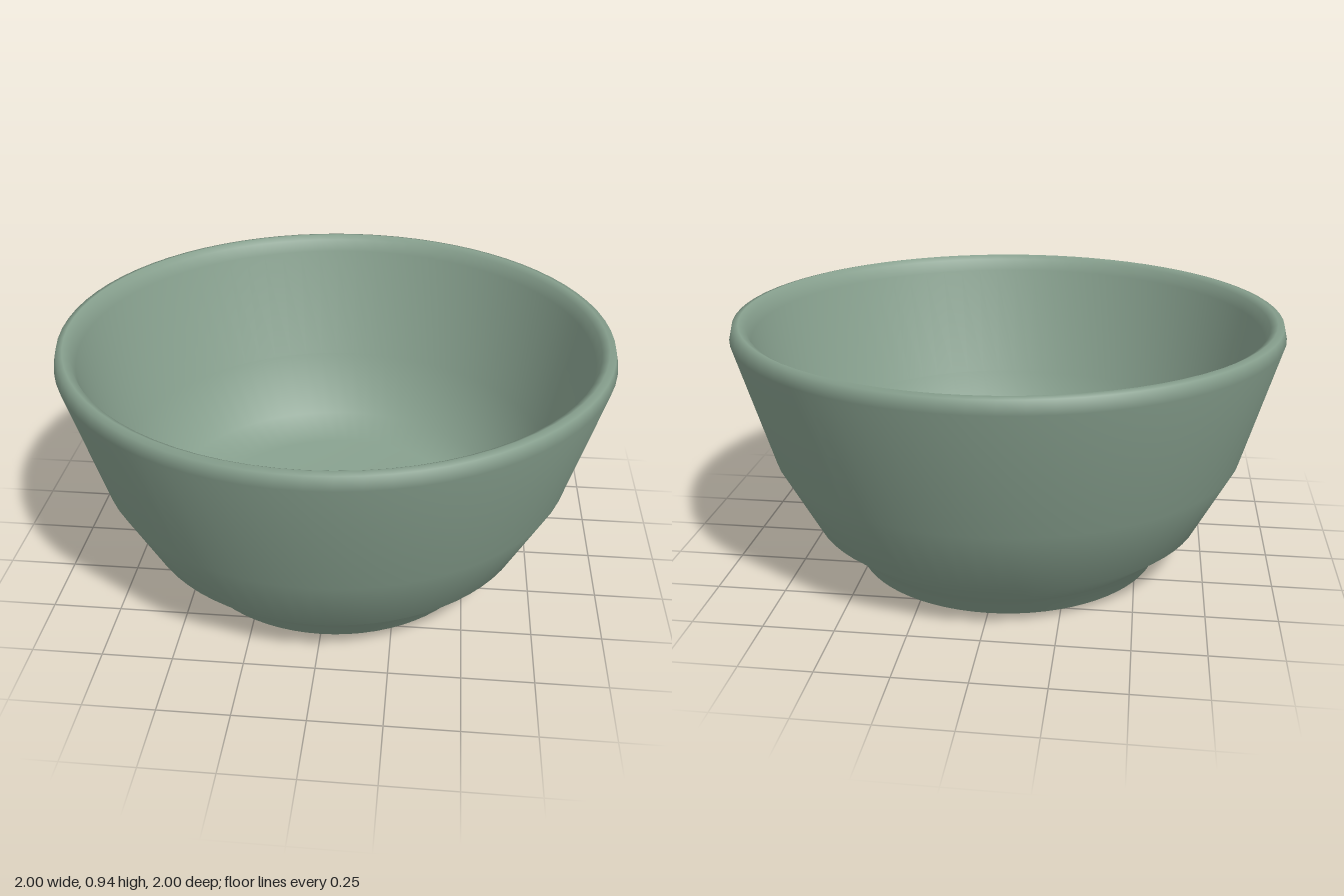
import * as THREE from 'three';

export function createModel() {
  const group = new THREE.Group();
  group.name = 'bowl';

  const glaze = new THREE.MeshStandardMaterial({ color: 0x87a08e });
  glaze.name = 'sage green glaze';

  // One closed profile: underside, foot ring, outer wall, rim, inner wall, floor
  const profile = [
    [0, 0.08], [0.49, 0.08], // recessed underside
    [0.52, 0.01], [0.545, 0], [0.575, 0.005], // foot ring
    [0.6, 0.07], [0.735, 0.18], [0.87, 0.44], [0.998, 0.89], // outer wall
    [0.987, 0.935], [0.965, 0.94], [0.94, 0.925], [0.925, 0.88], // rounded rim
    [0.8, 0.45], [0.67, 0.22], [0.54, 0.15], [0, 0.14], // inner wall and floor
  ].map(([r, y]) => new THREE.Vector2(r, y));

  const body = new THREE.Mesh(new THREE.LatheGeometry(profile, 72), glaze);
  body.name = 'bowlBody';
  group.add(body);
  return group;
}
